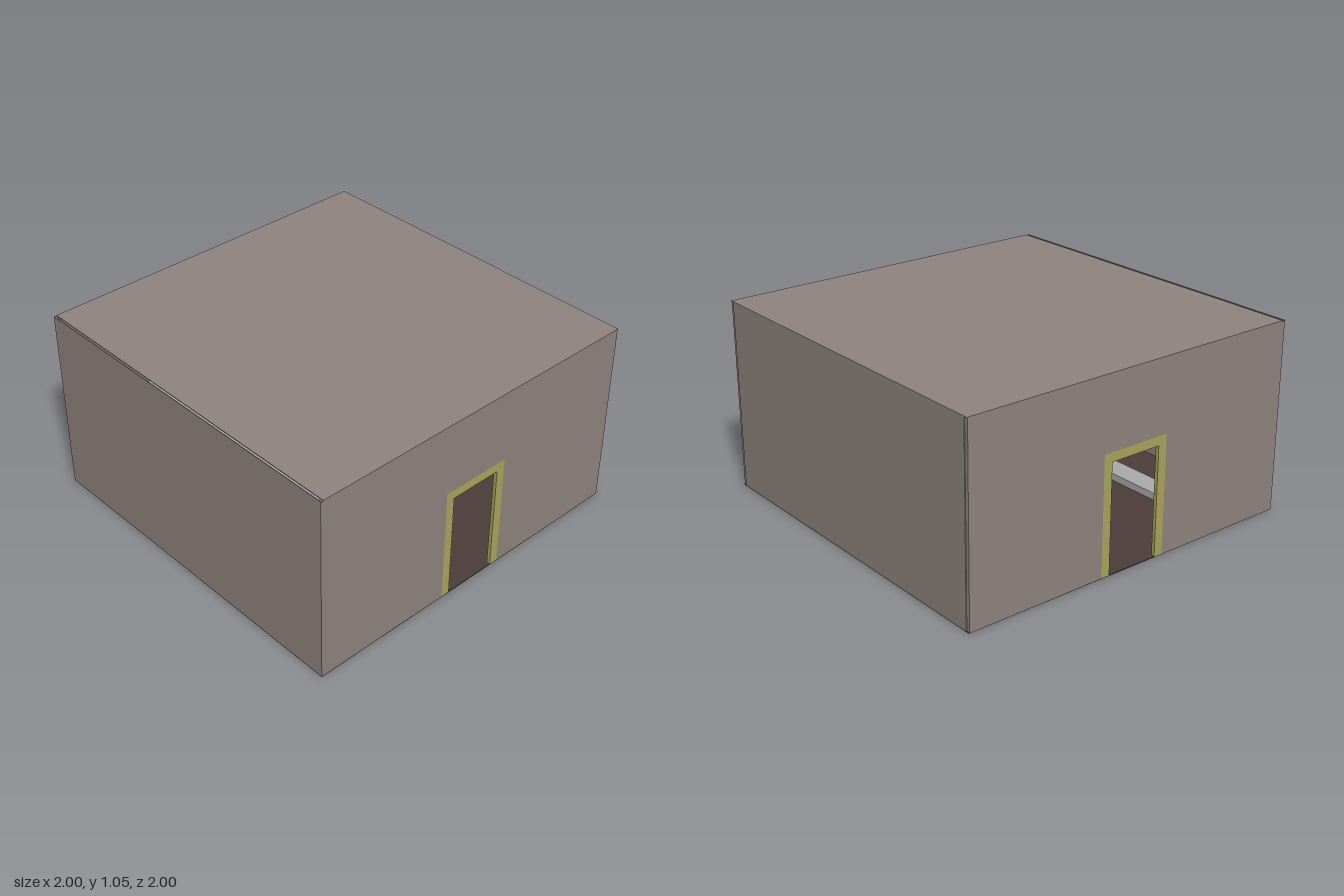
import * as THREE from 'three';

const material = (color) => new THREE.MeshStandardMaterial({ color });

export function createModel() {
  const room = new THREE.Group();
  room.name = 'room';
  const stone = material(0x8f837d);
  const earth = material(0x4c3d3a);
  const trim = material(0xa8a45c);
  const grey = material(0xaaaaaa);

  const H = 1.05; // overall height
  const T = 0.02; // wall thickness

  // Box given by its minimum and maximum corners
  function box(name, mat, min, max, parent = room) {
    const size = max.map((v, i) => v - min[i]);
    const mesh = new THREE.Mesh(new THREE.BoxGeometry(...size), mat);
    mesh.position.set(...max.map((v, i) => (v + min[i]) / 2));
    mesh.name = name;
    parent.add(mesh);
    return mesh;
  }

  // Upright panel with a doorway cut from its lower edge, facing +x
  function archPanel(name, mat, halfWidth, top, halfDoor, doorTop, parent) {
    const shape = new THREE.Shape([
      [-halfWidth, 0], [-halfDoor, 0], [-halfDoor, doorTop], [halfDoor, doorTop],
      [halfDoor, 0], [halfWidth, 0], [halfWidth, top], [-halfWidth, top],
    ].map(([x, y]) => new THREE.Vector2(x, y)));
    const mesh = new THREE.Mesh(
      new THREE.ExtrudeGeometry(shape, { depth: T, bevelEnabled: false }), mat);
    mesh.rotation.y = Math.PI / 2;
    mesh.position.x = 1 - T;
    mesh.name = name;
    parent.add(mesh);
  }

  // Shell: the roof stops just short of the front wall, leaving a narrow slot
  box('floor', earth, [-1, 0, -1], [1, 0.004, 1]);
  box('roof', stone, [-1, H - 0.005, -1], [1, H, 0.984]);
  box('backWall', stone, [-1 + T, 0.004, -1], [1 - T, H - 0.005, -1 + T]);
  box('frontWall', stone, [-1, 0.004, 0.996], [1, H, 1]);

  // Side walls, each with a framed doorway
  ['leftSide', 'rightSide'].forEach((name, i) => {
    const side = new THREE.Group();
    side.name = name;
    archPanel('sideWall', stone, 0.996, H - 0.005, 0.2, 0.65, side);
    archPanel('doorFrame', trim, 0.2, 0.65, 0.15, 0.6, side);
    side.rotation.y = i * Math.PI;
    room.add(side);
  });

  // Long counter inside, on a low plinth with round columns
  const counter = new THREE.Group();
  counter.name = 'counter';
  room.add(counter);
  box('plinth', grey, [-0.75, 0.004, 0.59], [0.75, 0.044, 0.72], counter);
  box('counterTop', grey, [-0.75, 0.57, 0.59], [0.75, 0.61, 0.72], counter);
  for (const x of [-0.55, 0, 0.55]) {
    const column = new THREE.Mesh(new THREE.CylinderGeometry(0.034, 0.034, 0.526, 20), grey);
    column.position.set(x, 0.307, 0.645);
    column.name = 'column';
    counter.add(column);
  }

  return room;
}
